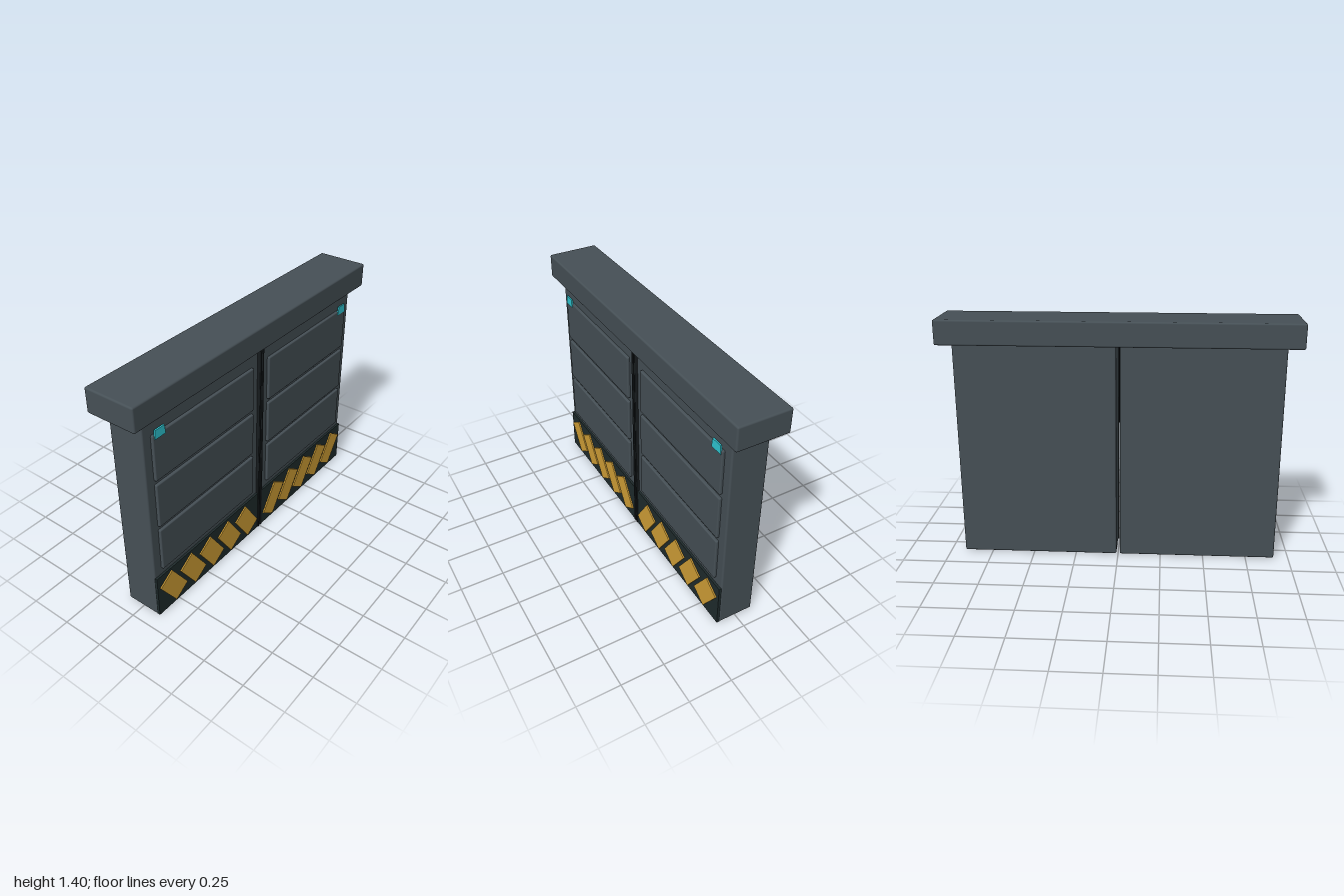
import * as THREE from 'three';
import { RoundedBoxGeometry } from 'three/addons/geometries/RoundedBoxGeometry.js';

function material(name, color) {
  const m = new THREE.MeshStandardMaterial({ color });
  m.name = name;
  return m;
}

export function createModel() {
  const steel = material('slate steel', 0x465056);
  const dark = material('dark band', 0x1f2b2c);
  const rubber = material('black seal', 0x171c1e);
  const yellow = material('hazard yellow', 0xd19f36);
  const teal = material('teal light', 0x2fc8d4);

  const model = new THREE.Group();
  model.name = 'slidingDoor';

  function add(parent, name, geometry, mat, x, y, z) {
    const mesh = new THREE.Mesh(geometry, mat);
    mesh.name = name;
    mesh.position.set(x, y, z);
    parent.add(mesh);
    return mesh;
  }
  const rounded = (w, h, d, r) => new RoundedBoxGeometry(w, h, d, 2, r);

  // Overhanging header beam
  add(model, 'header', rounded(2, 0.14, 0.3, 0.01), steel, 0, 1.33, 0);

  // Shared geometries for both leaves
  const leafGeo = rounded(0.905, 1.255, 0.21, 0.01);
  const panelGeo = rounded(0.79, 0.267, 0.03, 0.007);
  const bandGeo = new THREE.BoxGeometry(0.89, 0.265, 0.02);
  const stripeGeo = new THREE.BoxGeometry(0.115, 0.208, 0.009);
  const sealGeo = rounded(0.018, 1.25, 0.024, 0.005);
  const lightShape = new THREE.Shape([
    new THREE.Vector2(-0.038, -0.025), new THREE.Vector2(0.038, -0.025),
    new THREE.Vector2(0.033, 0.025), new THREE.Vector2(-0.033, 0.025),
  ]);
  const lightGeo = new THREE.ExtrudeGeometry(lightShape, { depth: 0.009, bevelEnabled: false });

  for (const side of [-1, 1]) {
    const leaf = new THREE.Group();
    leaf.name = side > 0 ? 'leftLeaf' : 'rightLeaf';
    model.add(leaf);

    add(leaf, 'leafSlab', leafGeo, steel, side * 0.4625, 0.6325, 0);
    add(leaf, 'centreSeal', sealGeo, rubber, side * 0.0115, 0.627, 0.11);

    // Three raised panels
    for (let i = 0; i < 3; i++) {
      add(leaf, 'raisedPanel', panelGeo, steel, side * 0.465, 0.443 + i * 0.2915, 0.106);
    }

    // Hazard band with leaning stripes, mirrored across the seam
    add(leaf, 'hazardBand', bandGeo, dark, side * 0.467, 0.138, 0.108);
    for (let i = 0; i < 5; i++) {
      const stripe = add(leaf, 'hazardStripe', stripeGeo, yellow, side * (0.138 + i * 0.163), 0.138, 0.1215);
      stripe.rotation.z = -side * 0.58;
    }

    // Status light at the outer top corner
    add(leaf, 'statusLight', lightGeo, teal, side * 0.813, 1.163, 0.1155);
  }
  return model;
}
